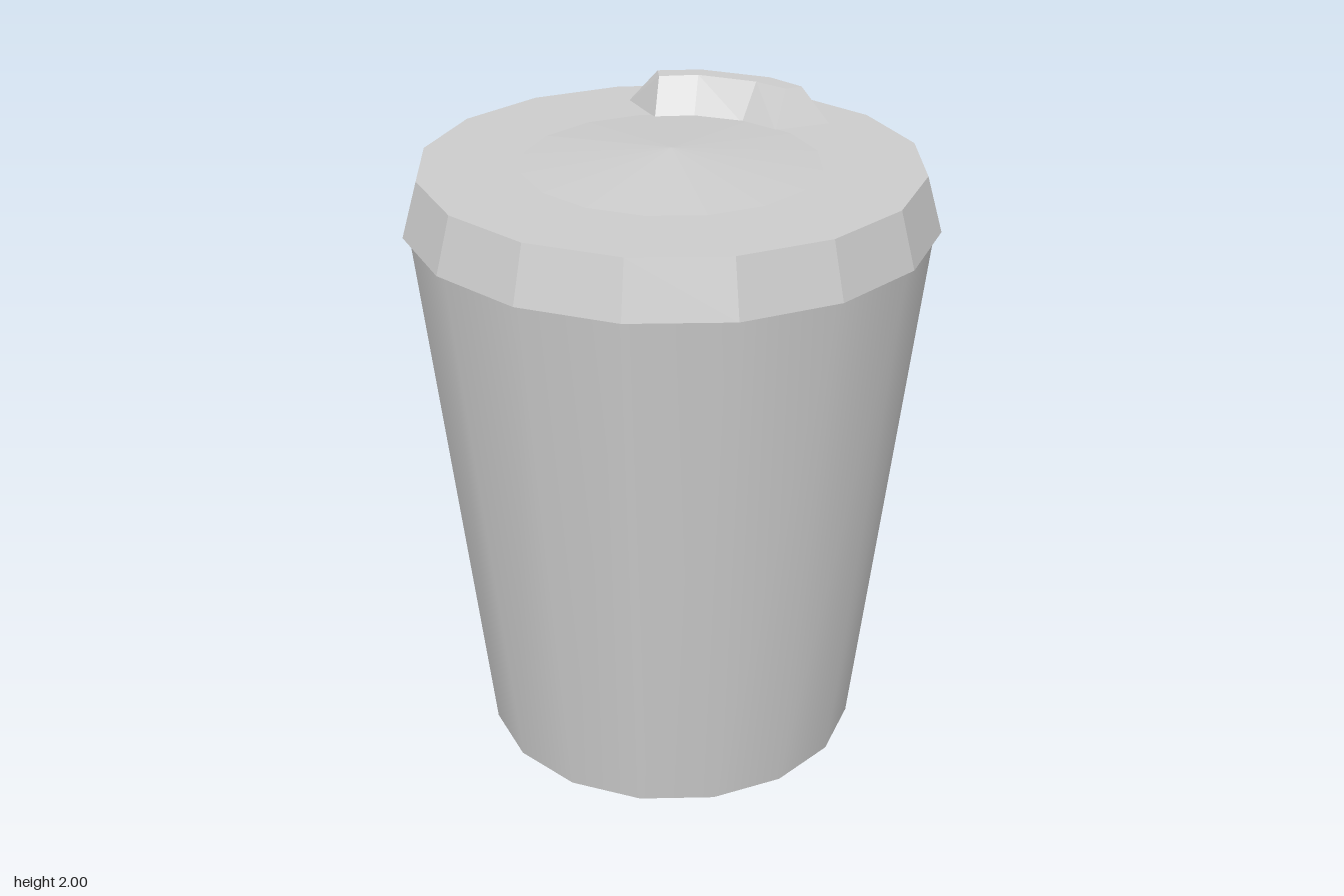
import * as THREE from 'three';

const SIDES = 16;

function addMesh(group, name, geometry, options) {
  const material = new THREE.MeshStandardMaterial({ color: 0xcccccc, ...options });
  const mesh = new THREE.Mesh(geometry, material);
  mesh.name = name;
  group.add(mesh);
}

// Closed low-poly solid swept through four-point cross-sections
function loft(sections) {
  const positions = sections.flat(2);
  const index = [];
  const quad = (a, b, c, d) => index.push(a, b, c, a, c, d);
  const last = (sections.length - 1) * 4;
  for (let s = 0; s < last; s += 4) {
    for (let k = 0; k < 4; k++) {
      const n = (k + 1) % 4;
      quad(s + k, s + n, s + 4 + n, s + 4 + k);
    }
  }
  quad(0, 3, 2, 1);
  quad(last, last + 1, last + 2, last + 3);
  const geometry = new THREE.BufferGeometry();
  geometry.setAttribute('position', new THREE.Float32BufferAttribute(positions, 3));
  geometry.setIndex(index);
  geometry.computeVertexNormals();
  return geometry;
}

export function createModel() {
  const group = new THREE.Group();
  group.name = 'lidded cup';

  // Tapered, smooth wall, open at the base
  const wall = new THREE.CylinderGeometry(0.785, 0.59, 1.72, SIDES, 1, true);
  wall.translate(0, 0.86, 0);
  addMesh(group, 'cupWall', wall, { side: THREE.DoubleSide });

  // Faceted lid: underside lip, sloped rim, flat top and a shallow central cone
  const profile = [
    [0.785, 1.72], [0.805, 1.72], [0.757, 1.89], [0.45, 1.89], [0, 1.935],
  ].map(([r, y]) => new THREE.Vector2(r, y));
  addMesh(group, 'lid', new THREE.LatheGeometry(profile, SIDES), {
    flatShading: true, side: THREE.DoubleSide,
  });

  // Curved drinking spout; each section is back base, back top, front top, front base
  const low = 1.885, high = 2;
  const spout = loft([
    [[-0.235, low, -0.564], [-0.135, high, -0.54], [-0.12, high, -0.48], [-0.12, low, -0.4]],
    [[0, low, -0.615], [0, high, -0.572], [0, high, -0.514], [0, low, -0.434]],
    [[0.235, low, -0.564], [0.227, high, -0.525], [0.19, high, -0.473], [0.155, low, -0.408]],
    [[0.43, low, -0.434], [0.335, high, -0.447], [0.29, high, -0.417], [0.27, low, -0.34]],
  ]);
  addMesh(group, 'spout', spout, { flatShading: true });

  return group;
}
